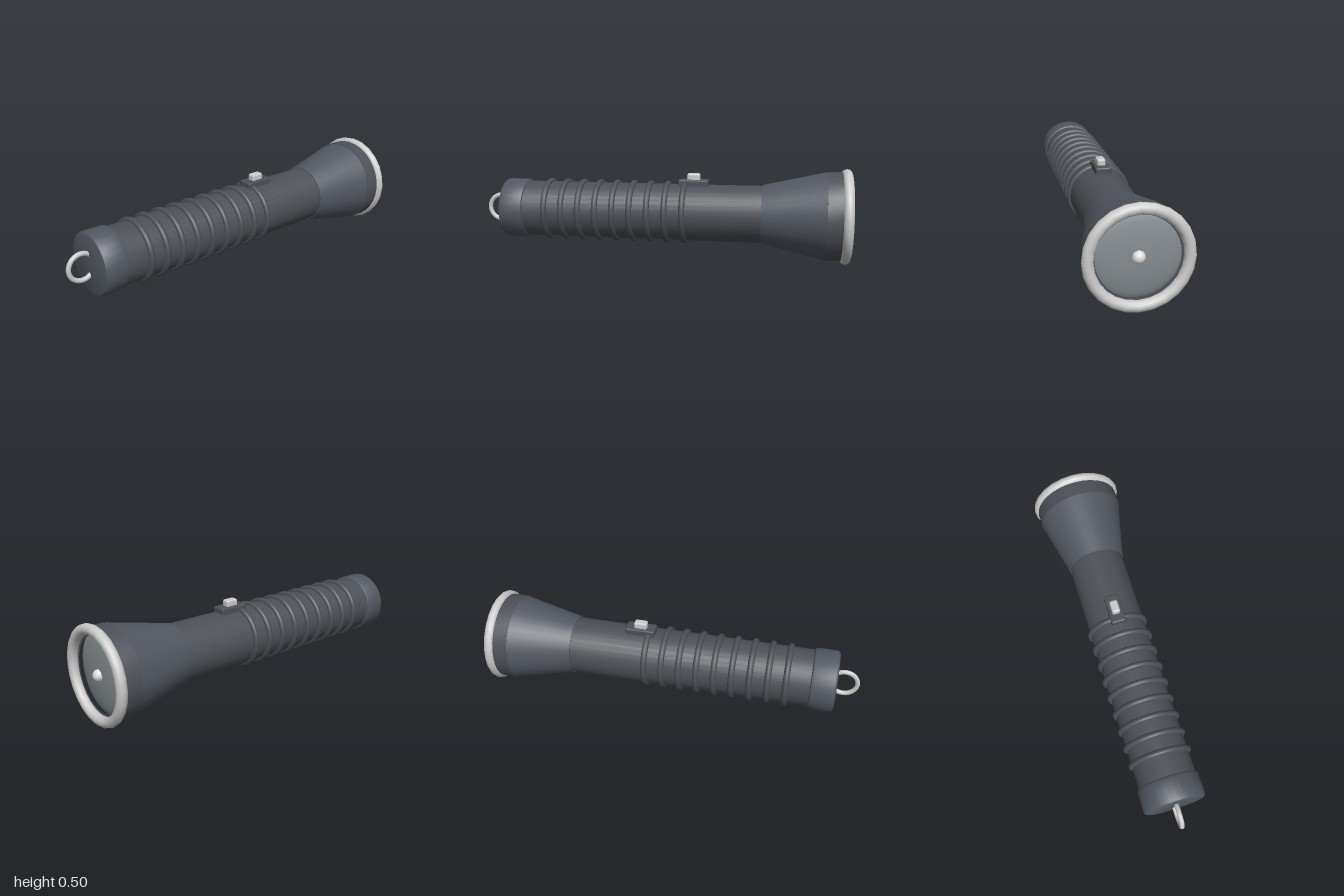
import * as THREE from 'three';
import { toCreasedNormals } from 'three/addons/utils/BufferGeometryUtils.js';
import { RoundedBoxGeometry } from 'three/addons/geometries/RoundedBoxGeometry.js';

const AXIS_Y = 0.252;

function material(name, color) {
  const m = new THREE.MeshStandardMaterial({ color });
  m.name = name;
  return m;
}

export function createModel() {
  const group = new THREE.Group();
  group.name = 'flashlight';
  const bodyGrey = material('body grey', 0x4d5057);
  const capGrey = material('cap grey', 0x525761);
  const metal = material('light metal', 0xcbcbcc);
  const lensGrey = material('lens grey', 0x858c90);
  const bulbWhite = material('bulb white', 0xdedede);

  function add(name, geometry, mat, x = 0, y = AXIS_Y) {
    const mesh = new THREE.Mesh(geometry, mat);
    mesh.name = name;
    mesh.position.set(x, y, 0);
    group.add(mesh);
    return mesh;
  }

  // Turned part along x, from [x, radius] pairs running left to right
  function turned(name, profile, mat) {
    const points = profile.map(([x, r]) => new THREE.Vector2(r, x));
    const geometry = new THREE.LatheGeometry(points, 32).rotateZ(-Math.PI / 2);
    return add(name, toCreasedNormals(geometry, 0.6), mat);
  }

  // Ring around the long axis
  function ring(name, x, radius, tube, mat, sides) {
    add(name, new THREE.TorusGeometry(radius, tube, 12, sides).rotateY(Math.PI / 2), mat, x);
  }

  turned('barrel', [[-0.78, 0], [-0.78, 0.152], [0.56, 0.152], [0.56, 0]], bodyGrey);
  turned('tailCap', [
    [-0.88, 0], [-0.88, 0.147], [-0.876, 0.157], [-0.866, 0.163],
    [-0.762, 0.163], [-0.752, 0.159], [-0.748, 0.152], [-0.748, 0],
  ], capGrey);

  // Grip ribs
  for (let i = 0; i < 9; i++) ring('gripRib', -0.625 + i * 0.094, 0.153, 0.016, bodyGrey, 32);

  // Flared head and its straight collar
  turned('head', [[0.54, 0], [0.54, 0.157], [0.87, 0.231], [0.87, 0]], capGrey);
  turned('headCollar', [[0.87, 0.2], [0.87, 0.233], [0.955, 0.233], [0.955, 0.19]], bodyGrey);
  ring('bezel', 0.973, 0.2235, 0.027, metal, 24);

  // Shallow domed lens with the bulb at its centre
  const dome = [];
  for (let i = 0; i <= 8; i++) {
    const a = (i / 8) * Math.PI / 2;
    dome.push([0.92 + 0.04 * Math.sin(a), 0.212 * Math.cos(a)]);
  }
  turned('lens', dome, lensGrey);
  add('bulb', new THREE.SphereGeometry(0.032, 8, 8).rotateZ(-Math.PI / 2), bulbWhite, 0.957);

  // Sliding switch
  add('switchPlate', new RoundedBoxGeometry(0.16, 0.04, 0.078, 2, 0.008), bodyGrey, 0.174, 0.412);
  add('switchButton', new RoundedBoxGeometry(0.07, 0.045, 0.044, 2, 0.011), metal, 0.174, 0.442);

  // Hanging loop on the tail
  add('tailLoop', new THREE.TorusGeometry(0.069, 0.0125, 10, 24), metal, -0.9185);

  return group;
}
